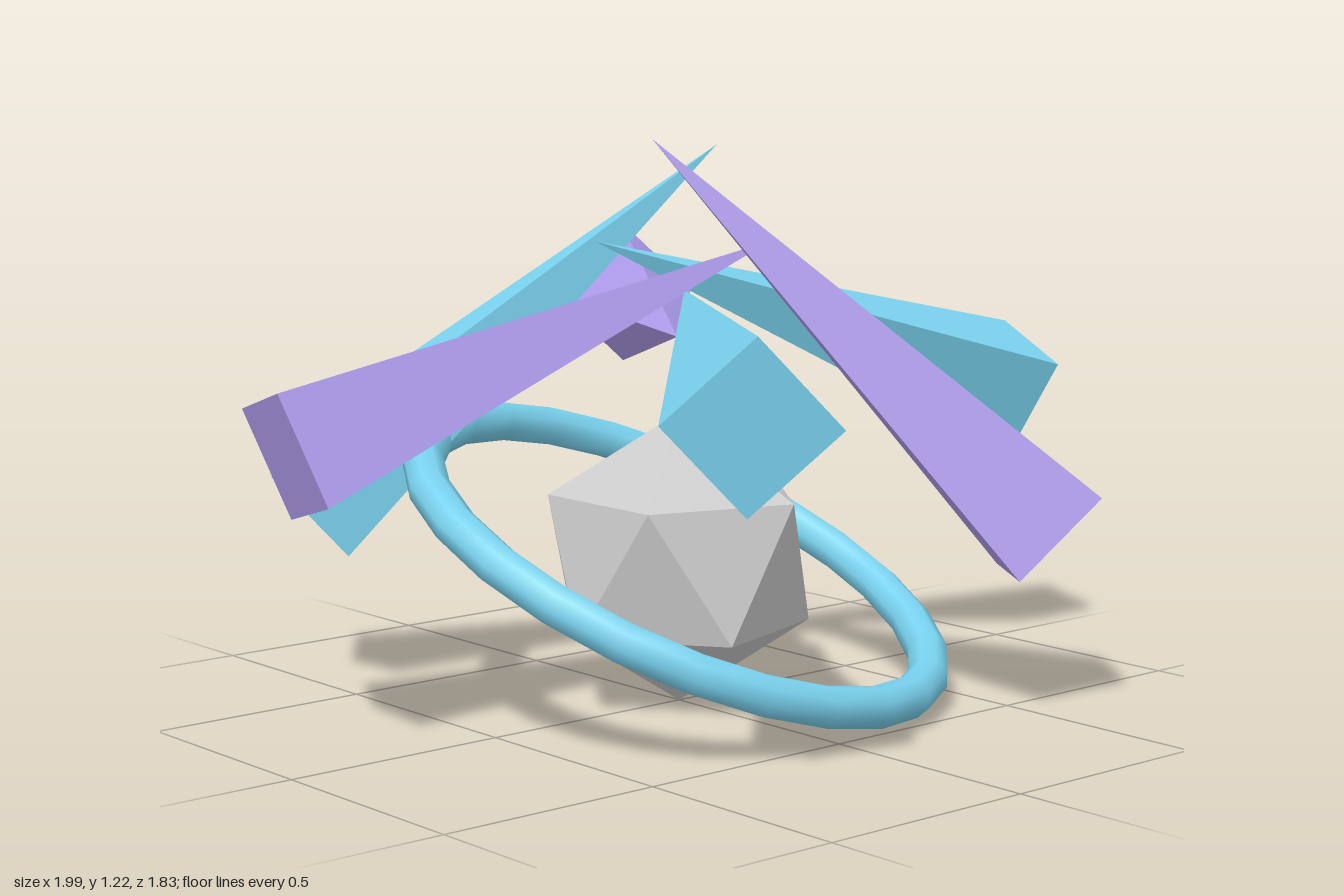
import * as THREE from 'three';

const TEAL = 0x7ad3f0, VIOLET = 0xb3a0f2, GREY = 0xcccccc;
const CORE_Y = 0.315;
const V = (a) => new THREE.Vector3(...a);

function makeMesh(name, geometry, color, flatShading) {
  const mesh = new THREE.Mesh(geometry, new THREE.MeshStandardMaterial({ color, flatShading }));
  mesh.name = name;
  return mesh;
}

// Square pyramid from a base centre, its midpoint and one base corner
function makeSpike(name, base, mid, corner, color) {
  const y = mid.clone().sub(base).normalize();
  const x = corner.clone().sub(base);
  x.addScaledVector(y, -x.dot(y)).normalize();
  const z = new THREE.Vector3().crossVectors(x, y);
  const spike = makeMesh(name, new THREE.ConeGeometry(0.172, 1.18, 4), color, true);
  spike.quaternion.setFromRotationMatrix(new THREE.Matrix4().makeBasis(x, y, z));
  spike.position.copy(mid);
  return spike;
}

export function createModel() {
  const model = new THREE.Group();
  model.name = 'spikedCrystal';

  // Faceted core standing on one vertex
  const coreGeometry = new THREE.IcosahedronGeometry(CORE_Y, 0);
  coreGeometry.rotateZ(-Math.atan(2 / (1 + Math.sqrt(5))));
  const core = makeMesh('core', coreGeometry, GREY, true);
  core.position.y = CORE_Y;
  model.add(core);

  // Tilted ring around the core
  const ring = makeMesh('ring', new THREE.TorusGeometry(0.592, 0.045, 8, 24), TEAL, false);
  ring.quaternion.setFromUnitVectors(V([0, 0, 1]), V([0.19, 0.902, 0.386]).normalize());
  ring.position.y = CORE_Y;
  model.add(ring);

  // Six spikes, 60 degrees apart, each with its own tilt and twist: [base centre, base corner]
  const spikes = [
    [[0.932, 0.61, 0.08], [0.995, 0.75, 0.018]],
    [[0.524, 0.39, 0.588], [0.663, 0.475, 0.535]],
    [[-0.528, 0.738, 0.814], [-0.535, 0.91, 0.836]],
    [[-0.935, 0.615, -0.105], [-1.0, 0.755, -0.03]],
    [[-0.527, 0.414, -0.626], [-0.53, 0.52, -0.764]],
    [[0.524, 0.793, -0.822], [0.524, 0.963, -0.828]],
  ];
  spikes.forEach(([base, corner], i) => {
    const a = (i * Math.PI) / 3;
    const mid = V([0.384 * Math.cos(a), 0.805, 0.384 * Math.sin(a)]);
    model.add(makeSpike(`spike${i + 1}`, V(base), mid, V(corner), i % 2 ? VIOLET : TEAL));
  });
  return model;
}
